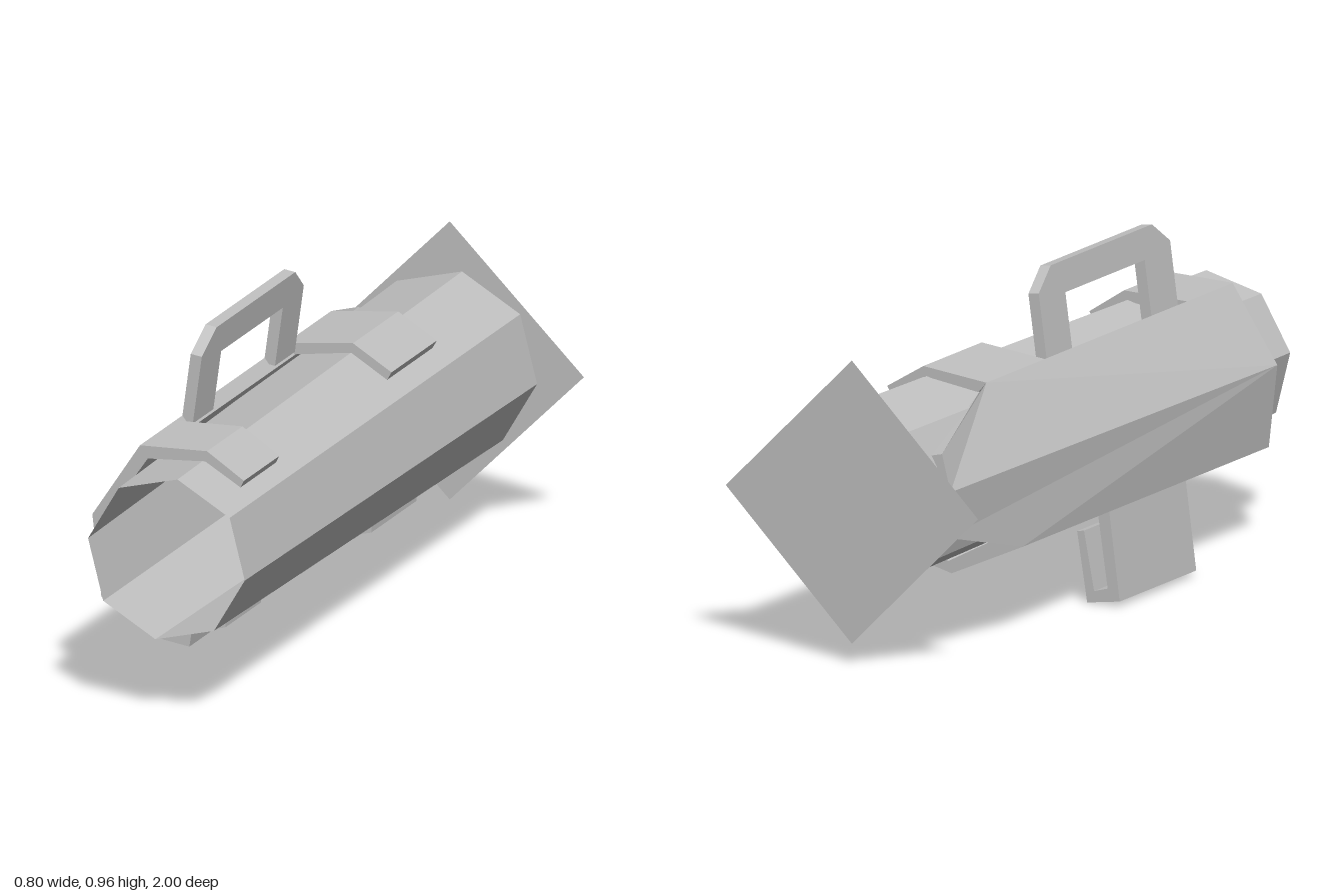
import * as THREE from 'three';

const grey = new THREE.MeshStandardMaterial({ color: 0xc0c0c0, flatShading: true, side: THREE.DoubleSide });
grey.name = 'plain grey';

function part(name, geometry) {
  const mesh = new THREE.Mesh(geometry, grey);
  mesh.name = name;
  return mesh;
}

// Extrudes an (x, y) outline along z from z0 to z1
function bar(points, z0, z1) {
  const shape = new THREE.Shape(points.map(([x, y]) => new THREE.Vector2(x, y)));
  return new THREE.ExtrudeGeometry(shape, { depth: z1 - z0, bevelEnabled: false }).translate(0, 0, z0);
}

// Solid panel between matching outer and inner loops
function slab(outer, inner) {
  const n = outer.length, index = [];
  for (let i = 0; i < n; i++) {
    const j = (i + 1) % n;
    if (i > 0 && i < n - 1) index.push(0, i, j, n, n + j, n + i);
    index.push(i, n + i, j, j, n + i, n + j);
  }
  const g = new THREE.BufferGeometry();
  g.setAttribute('position', new THREE.Float32BufferAttribute([...outer, ...inner].flat(), 3));
  g.setIndex(index);
  const flat = g.toNonIndexed();
  flat.computeVertexNormals();
  return flat;
}

export function createModel() {
  const group = new THREE.Group();

  // Open eight-sided tube, slightly wider at the back
  const tube = new THREE.CylinderGeometry(0.236, 0.263, 2, 8, 1, true, THREE.MathUtils.degToRad(37));
  group.add(part('tube', tube.rotateX(Math.PI / 2).translate(0, 0.457, 0)));

  // Diamond sheet closing the back
  const sheet = new THREE.PlaneGeometry(0.566, 0.566).rotateZ(Math.PI / 4);
  group.add(part('backPlate', sheet.translate(0, 0.457, -1)));

  // Folded side cover with cut back corners
  group.add(part('upperSideCover', slab(
    [[-0.155, 0.715, -0.53], [-0.24, 0.605, -0.92], [-0.267, 0.5, -0.92], [-0.297, 0.5, 0.82], [-0.155, 0.715, 0.82]],
    [[-0.13, 0.682, -0.53], [-0.207, 0.597, -0.92], [-0.262, 0.497, -0.92], [-0.257, 0.497, 0.82], [-0.13, 0.682, 0.82]])));
  group.add(part('lowerSideCover', slab(
    [[-0.297, 0.5, 0.82], [-0.267, 0.5, -0.92], [-0.257, 0.37, -0.92], [-0.27, 0.265, -0.53], [-0.27, 0.265, 0.82]],
    [[-0.257, 0.497, 0.82], [-0.262, 0.497, -0.92], [-0.236, 0.37, -0.92], [-0.23, 0.3, -0.53], [-0.23, 0.3, 0.82]])));

  // Straps hugging the tube above and below
  group.add(part('frontUpperStrap', bar(
    [[-0.155, 0.715], [0.045, 0.722], [0.155, 0.65], [0.145, 0.63], [0.04, 0.692], [-0.13, 0.68]], 0.57, 0.82)));
  group.add(part('backUpperStrap', bar(
    [[-0.155, 0.715], [0.045, 0.738], [0.16, 0.668], [0.147, 0.645], [0.04, 0.71], [-0.13, 0.685]], -0.53, -0.21)));
  group.add(part('frontLowerStrap', bar(
    [[-0.27, 0.265], [-0.045, 0.182], [0.1, 0.222], [0.1, 0.247], [-0.035, 0.217], [-0.23, 0.3]], 0.57, 0.82)));
  group.add(part('backLowerStrap', bar(
    [[-0.27, 0.265], [-0.045, 0.163], [0.1, 0.2], [0.1, 0.23], [-0.035, 0.197], [-0.23, 0.3]], -0.53, -0.21)));

  // Hooked grip under the side cover
  group.add(part('lowerGrip', bar(
    [[-0.27, 0.265], [-0.303, 0.015], [-0.2, 0], [-0.168, 0.198], [-0.19, 0.202],
      [-0.222, 0.035], [-0.265, 0.047], [-0.23, 0.285]], -0.055, 0.365)));

  // Leaning carry handle: outline in (z, y), thickness and lean along x
  const handle = bar(
    [[0.52, 0.7], [0.52, 0.895], [0.435, 0.957], [-0.12, 0.957], [-0.2, 0.895], [-0.2, 0.7],
      [-0.06, 0.7], [-0.06, 0.87], [0.375, 0.87], [0.375, 0.7]], 0, 0.033);
  handle.rotateY(-Math.PI / 2).scale(-1, 1, 1);
  const p = handle.attributes.position;
  for (let i = 0; i < p.count; i++) {
    const d = p.getX(i), y = p.getY(i);
    p.setXYZ(i, -0.155 + d + (y - 0.715) * 0.1375, y - d * 0.14, p.getZ(i));
  }
  // Restore outward winding after the mirror
  for (let i = 0; i < p.count; i += 3) {
    const a = new THREE.Vector3().fromBufferAttribute(p, i + 1);
    const b = new THREE.Vector3().fromBufferAttribute(p, i + 2);
    p.setXYZ(i + 1, b.x, b.y, b.z);
    p.setXYZ(i + 2, a.x, a.y, a.z);
  }
  handle.computeVertexNormals();
  group.add(part('carryHandle', handle));

  return group;
}
